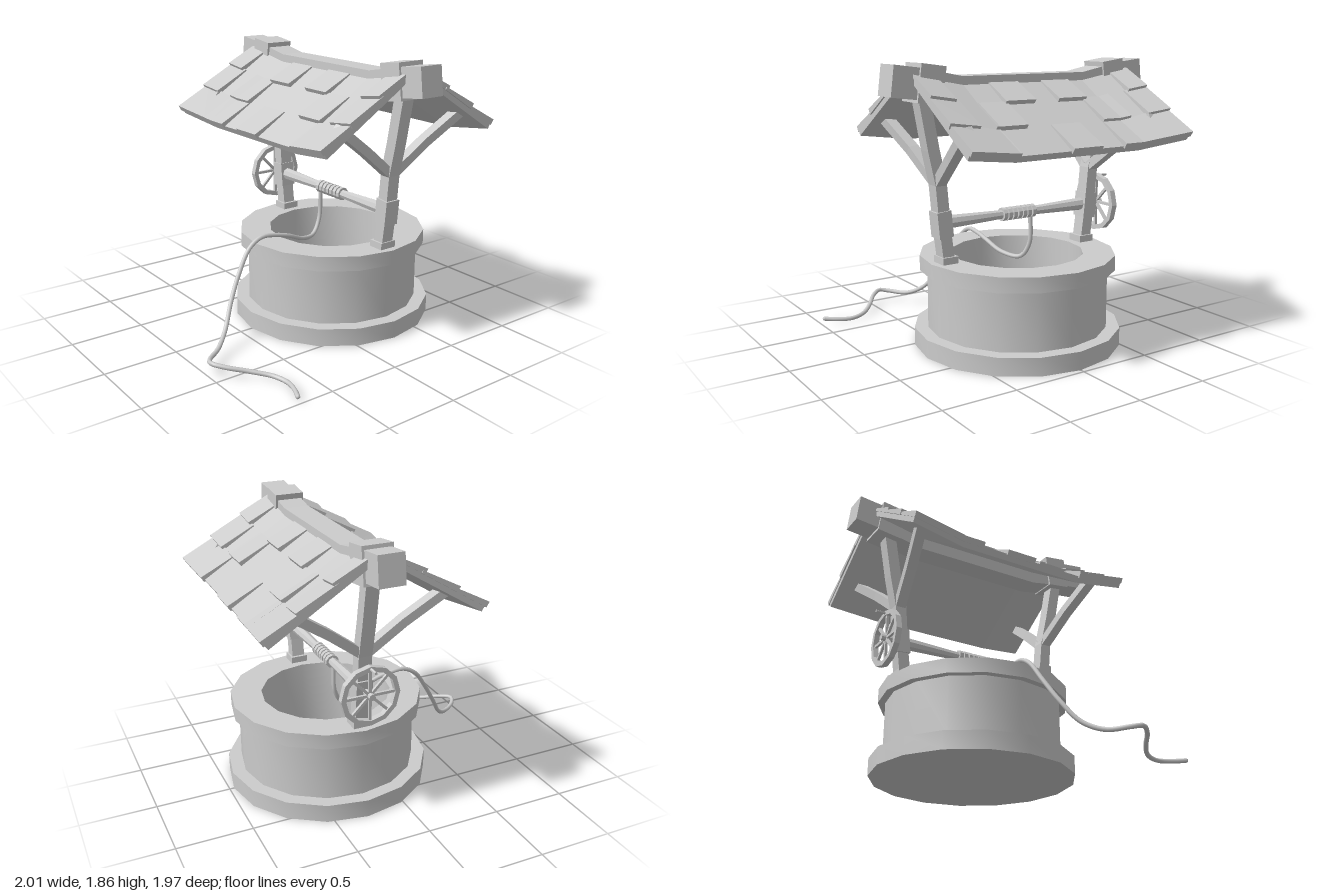
import * as THREE from 'three';
import { toCreasedNormals } from 'three/addons/utils/BufferGeometryUtils.js';

const CX = 0.28; // the well stands off-centre, the loose rope balances it
const smooth = new THREE.MeshStandardMaterial({ color: 0xcccccc });
const flat = new THREE.MeshStandardMaterial({ color: 0xcccccc, flatShading: true });
const V = (x, y, z) => new THREE.Vector3(x, y, z);

function add(parent, name, geometry, material = flat, x = 0, y = 0, z = 0) {
  const mesh = new THREE.Mesh(geometry, material);
  mesh.name = name;
  mesh.position.set(x, y, z);
  parent.add(mesh);
  return mesh;
}

// Rectangular timber swept along a polyline
function timber(points, width, depth, sideHint) {
  const n = points.length - 1;
  const geo = new THREE.BoxGeometry(1, 1, 1, 1, n, 1);
  const pos = geo.attributes.position;
  for (let i = 0; i < pos.count; i++) {
    const k = Math.round((pos.getY(i) + 0.5) * n);
    const t = points[Math.min(k + 1, n)].clone().sub(points[Math.max(k - 1, 0)]).normalize();
    const side = sideHint.clone().addScaledVector(t, -sideHint.dot(t)).normalize();
    const depthDir = side.clone().cross(t);
    const p = points[k].clone()
      .addScaledVector(side, pos.getX(i) * width)
      .addScaledVector(depthDir, pos.getZ(i) * depth);
    pos.setXYZ(i, p.x, p.y, p.z);
  }
  const out = geo.toNonIndexed();
  out.computeVertexNormals();
  return out;
}

// Sagging roof surface: u is the distance from the ridge line
const lift = (z) => Math.min(1, Math.max(0, (Math.abs(z) - 0.46) / 0.36));
const roofY = (u, z) => 1.78 - 0.627 * u + 0.065 * lift(z);

// Slab lying on the roof slope, from height low up to highIn (ridge) / highOut (eave)
function roofSlab(side, u0, u1, zs, low, highIn, highOut) {
  const n = zs.length - 1;
  const geo = new THREE.BoxGeometry(1, 1, 1, 1, 1, n);
  const pos = geo.attributes.position;
  for (let i = 0; i < pos.count; i++) {
    const f = side * pos.getX(i) + 0.5;
    const z = zs[Math.round((pos.getZ(i) + 0.5) * n)];
    const flare = 1 + 0.05 * lift(z) * f;
    const u = THREE.MathUtils.lerp(u0, u1, f) * flare;
    const h = pos.getY(i) > 0 ? THREE.MathUtils.lerp(highIn, highOut, f) : low;
    pos.setXYZ(i, CX + side * (u + h * 0.53), roofY(u, z) + h * 0.85, z);
  }
  const out = geo.toNonIndexed();
  out.computeVertexNormals();
  return out;
}

export function createModel() {
  const well = new THREE.Group();
  well.name = 'well';

  // Stone ring with plinth, rim and hollow shaft
  const profile = [[0, 0], [0.69, 0], [0.69, 0.12], [0.6, 0.12], [0.6, 0.51], [0.65, 0.51],
    [0.65, 0.61], [0.44, 0.61], [0.44, 0.06], [0, 0.06]].map(([r, y]) => new THREE.Vector2(r, y));
  add(well, 'stoneRing', toCreasedNormals(new THREE.LatheGeometry(profile, 16), 0.6), smooth, CX);

  // Posts, feet, axle clamps and roof braces at both ends
  const X = V(1, 0, 0);
  const Z = V(0, 0, 1);
  for (const s of [1, -1]) {
    const frame = new THREE.Group();
    frame.name = s > 0 ? 'frontFrame' : 'backFrame';
    well.add(frame);
    const path = [[0.61, 0.545], [0.8, 0.57], [1.12, 0.6], [1.34, 0.65], [1.66, 0.71]];
    add(frame, 'post', timber(path.map(([y, z]) => V(CX, y, s * z)), 0.09, 0.08, X));
    add(frame, 'foot', new THREE.BoxGeometry(0.12, 0.05, 0.11), flat, CX, 0.63, s * 0.545);
    const clamp = add(frame, 'axleClamp', new THREE.BoxGeometry(0.11, 0.17, 0.1), flat, CX, 0.865, s * 0.577);
    clamp.rotation.x = s * 0.1;
    for (const m of [1, -1]) {
      const brace = [V(CX + m * 0.02, 1.13, s * 0.6), V(CX + m * 0.25, 1.31, s * 0.64), V(CX + m * 0.52, 1.5, s * 0.7)];
      add(frame, 'brace', timber(brace, 0.07, 0.06, Z));
    }
  }

  // Ridge beam, bent up at the ends, with a collar over each post
  const ridge = [[0.94, 1.765], [0.78, 1.745], [0.47, 1.685], [-0.47, 1.685], [-0.79, 1.745], [-0.975, 1.765]];
  add(well, 'ridgeBeam', timber(ridge.map(([z, y]) => V(CX, y, z)), 0.17, 0.19, X));
  for (const [z, s] of [[0.685, 1], [-0.725, -1]]) {
    const collar = add(well, 'ridgeCollar', new THREE.BoxGeometry(0.2, 0.235, 0.17), flat, CX, 1.737, z);
    collar.rotation.x = -s * 0.13;
  }

  // Roof boards and raised shingles: [u0, u1, z0, z1]
  const shingles = [
    [0.08, 0.27, -0.34, -0.12], [0.08, 0.27, 0.06, 0.28],
    [0.25, 0.47, -0.54, -0.32], [0.25, 0.47, 0.26, 0.48],
    [0.46, 0.68, -0.14, 0.08], [0.46, 0.68, -0.54, -0.32],
    [0.08, 0.27, 0.63, 0.805], [0.08, 0.27, -0.845, -0.69],
    [0.26, 0.48, 0.6, 0.81], [0.26, 0.48, -0.85, -0.67],
    [0.47, 0.68, 0.45, 0.8], [0.47, 0.68, -0.845, -0.54],
  ];
  for (const s of [1, -1]) {
    const roof = new THREE.Group();
    roof.name = s > 0 ? 'leftRoof' : 'rightRoof';
    well.add(roof);
    add(roof, 'roofBoard', roofSlab(s, 0.05, 0.67, [-0.84, -0.46, 0.46, 0.8], -0.045, 0, 0));
    for (const [u0, u1, z0, z1] of shingles) {
      const zs = [z0, z1];
      for (const bend of [-0.46, 0.46]) if (bend > z0 && bend < z1) zs.splice(1, 0, bend);
      add(roof, 'shingle', roofSlab(s, u0, u1, zs, -0.01, 0.008, 0.03));
    }
  }

  // Axle, waisted towards the middle, with rope coils
  const axleProfile = [[0, -0.6], [0.045, -0.6], [0.042, -0.48], [0.03, -0.14], [0.03, 0.14],
    [0.042, 0.48], [0.045, 0.6], [0, 0.6]].map(([r, y]) => new THREE.Vector2(r, y));
  add(well, 'axle', new THREE.LatheGeometry(axleProfile, 8).rotateX(Math.PI / 2), flat, CX, 0.87);
  for (let i = 0; i < 7; i++) {
    add(well, 'ropeCoil', new THREE.CylinderGeometry(0.045, 0.045, 0.028, 10).rotateX(Math.PI / 2),
      flat, CX, 0.87, -0.115 + i * 0.038);
  }

  // Crank wheel with spokes, hub and handle
  const wheel = new THREE.Group();
  wheel.name = 'crankWheel';
  wheel.position.set(0.27, 0.87, -0.68);
  well.add(wheel);
  const rim = [[0.168, -0.02], [0.2, -0.02], [0.2, 0.02], [0.168, 0.02], [0.168, -0.02]]
    .map(([r, y]) => new THREE.Vector2(r, y));
  add(wheel, 'wheelRim', new THREE.LatheGeometry(rim, 12).rotateX(Math.PI / 2));
  for (let i = 0; i < 4; i++) {
    add(wheel, 'spoke', new THREE.BoxGeometry(0.35, 0.018, 0.018)).rotation.z = i * Math.PI / 4;
  }
  add(wheel, 'hub', new THREE.CylinderGeometry(0.022, 0.022, 0.13, 8).rotateX(Math.PI / 2), flat, 0, 0, 0.025);
  add(wheel, 'handle', new THREE.CylinderGeometry(0.01, 0.01, 0.08, 6).rotateX(Math.PI / 2), flat, 0, 0.183, -0.045);

  // Rope hanging from the axle, over the rim and along the ground
  const rope = [[0.27, 0.85, -0.115], [0.26, 0.64, -0.115], [0.19, 0.54, -0.09], [0.05, 0.55, -0.03],
    [-0.1, 0.61, 0], [-0.2, 0.635, 0], [-0.32, 0.645, 0], [-0.42, 0.59, 0.005], [-0.52, 0.45, 0.03],
    [-0.62, 0.29, 0.08], [-0.72, 0.14, 0.16], [-0.83, 0.075, 0.25], [-0.95, 0.075, 0.345],
    [-0.98, 0.085, 0.41], [-0.92, 0.072, 0.49], [-0.8, 0.045, 0.58], [-0.7, 0.025, 0.68],
    [-0.667, 0.016, 0.78], [-0.69, 0.02, 0.88], [-0.73, 0.028, 0.965]].map((p) => V(...p));
  const curve = new THREE.CatmullRomCurve3(rope);
  add(well, 'rope', new THREE.TubeGeometry(curve, 90, 0.015, 8), smooth);
  for (const t of [0, 1]) {
    const p = curve.getPoint(t);
    add(well, 'ropeEnd', new THREE.SphereGeometry(0.015, 8, 6), smooth, p.x, p.y, p.z);
  }
  return well;
}
